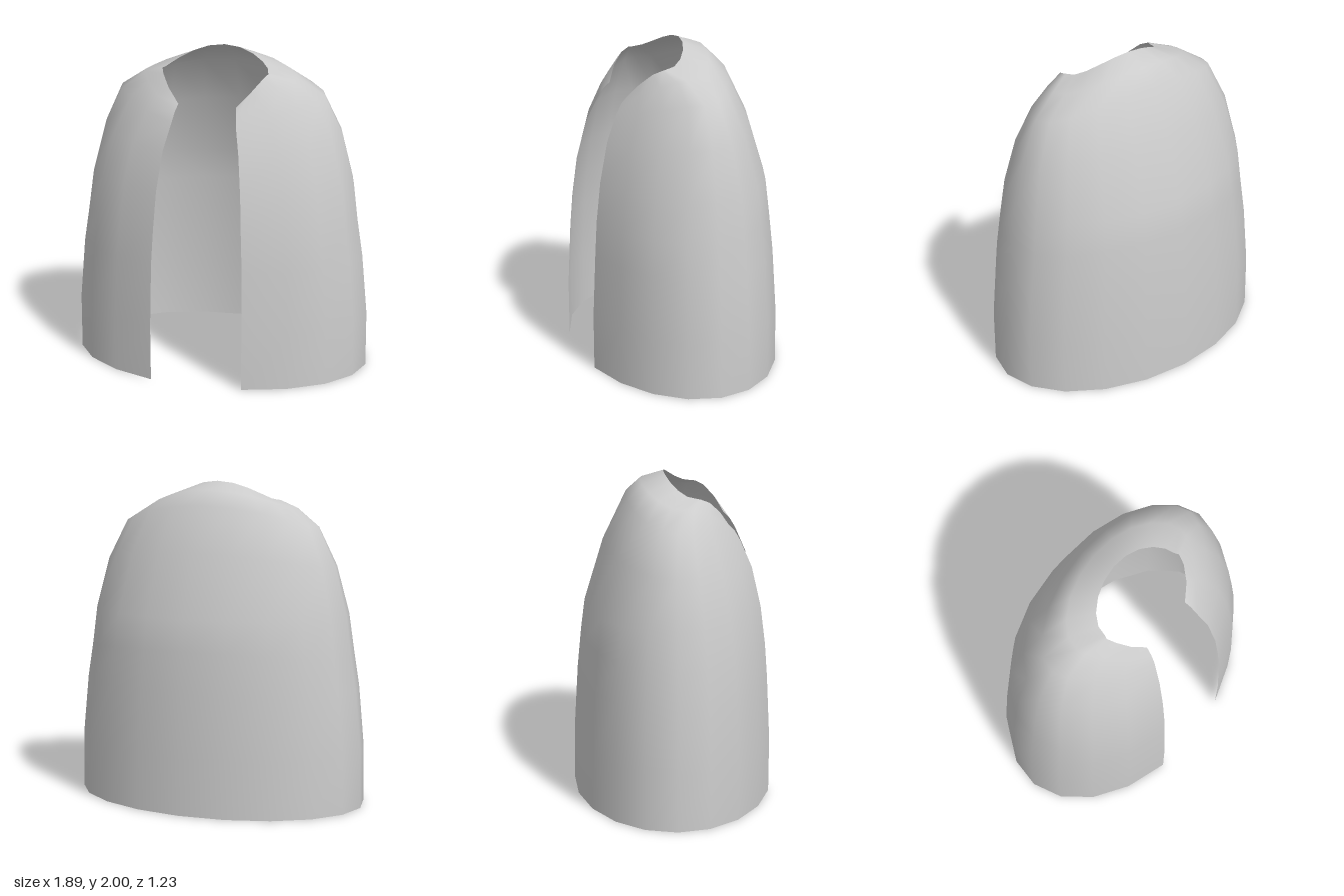
import * as THREE from 'three';

// Rings from neck to hem: front edge [x, y, z], side [x, y, z], back [y, z]
const RINGS = [
  { edge: [0.18, 1.7, 0.345], side: [0.325, 1.88, 0.15], back: [2.0, -0.045] },
  { edge: [0.19, 1.66, 0.385], side: [0.48, 1.84, 0.07], back: [1.95, -0.19] },
  { edge: [0.2, 1.6, 0.42], side: [0.65, 1.73, 0.02], back: [1.86, -0.285] },
  { edge: [0.235, 1.44, 0.49], side: [0.765, 1.49, 0.01], back: [1.58, -0.42] },
  { edge: [0.262, 1.2, 0.545], side: [0.84, 1.19, 0.01], back: [1.19, -0.54] },
  { edge: [0.275, 0.96, 0.575], side: [0.87, 0.95, 0.01], back: [1.0, -0.565] },
  { edge: [0.285, 0.75, 0.59], side: [0.905, 0.73, 0.01], back: [0.75, -0.59] },
  { edge: [0.29, 0.35, 0.61], side: [0.942, 0.35, 0.01], back: [0.35, -0.615] },
  { edge: [0.29, 0, 0.61], side: [0.945, 0, 0.01], back: [0, -0.62] },
];
const COLUMNS = 18;
const STEP = Math.PI / 10; // 20 sides, two of them left open at the front

// Point on a ring at angle t, measured from the front towards +x
function ringPoint({ edge, side, back }, t, roundness) {
  const s = Math.sin(t), c = Math.cos(t);
  let x = side[0] * s, y, z;
  if (c > 0) {
    const k = c / Math.cos(STEP);
    const w = Math.pow(k, roundness);
    x += Math.sign(s) * (edge[0] - side[0] * Math.sin(STEP)) * k;
    y = THREE.MathUtils.lerp(side[1], edge[1], w * w);
    z = THREE.MathUtils.lerp(side[2], edge[2], w);
  } else {
    y = THREE.MathUtils.lerp(side[1], back[0], c * c);
    z = THREE.MathUtils.lerp(side[2], back[1], -c);
  }
  return [x, y, z];
}

export function createModel() {
  const group = new THREE.Group();
  group.name = 'cape';

  // One open sheet wrapped around the body
  const geometry = new THREE.PlaneGeometry(1, 1, COLUMNS, RINGS.length - 1);
  const position = geometry.attributes.position;
  RINGS.forEach((ring, row) => {
    const roundness = 1 + Math.pow(1 - row / (RINGS.length - 1), 4);
    for (let col = 0; col <= COLUMNS; col++) {
      const p = ringPoint(ring, STEP * (col + 1), roundness);
      position.setXYZ(row * (COLUMNS + 1) + col, ...p);
    }
  });
  geometry.computeVertexNormals();

  const cloth = new THREE.Mesh(
    geometry,
    new THREE.MeshStandardMaterial({ color: 0xcccccc, side: THREE.DoubleSide })
  );
  cloth.name = 'capeCloth';
  group.add(cloth);
  return group;
}
